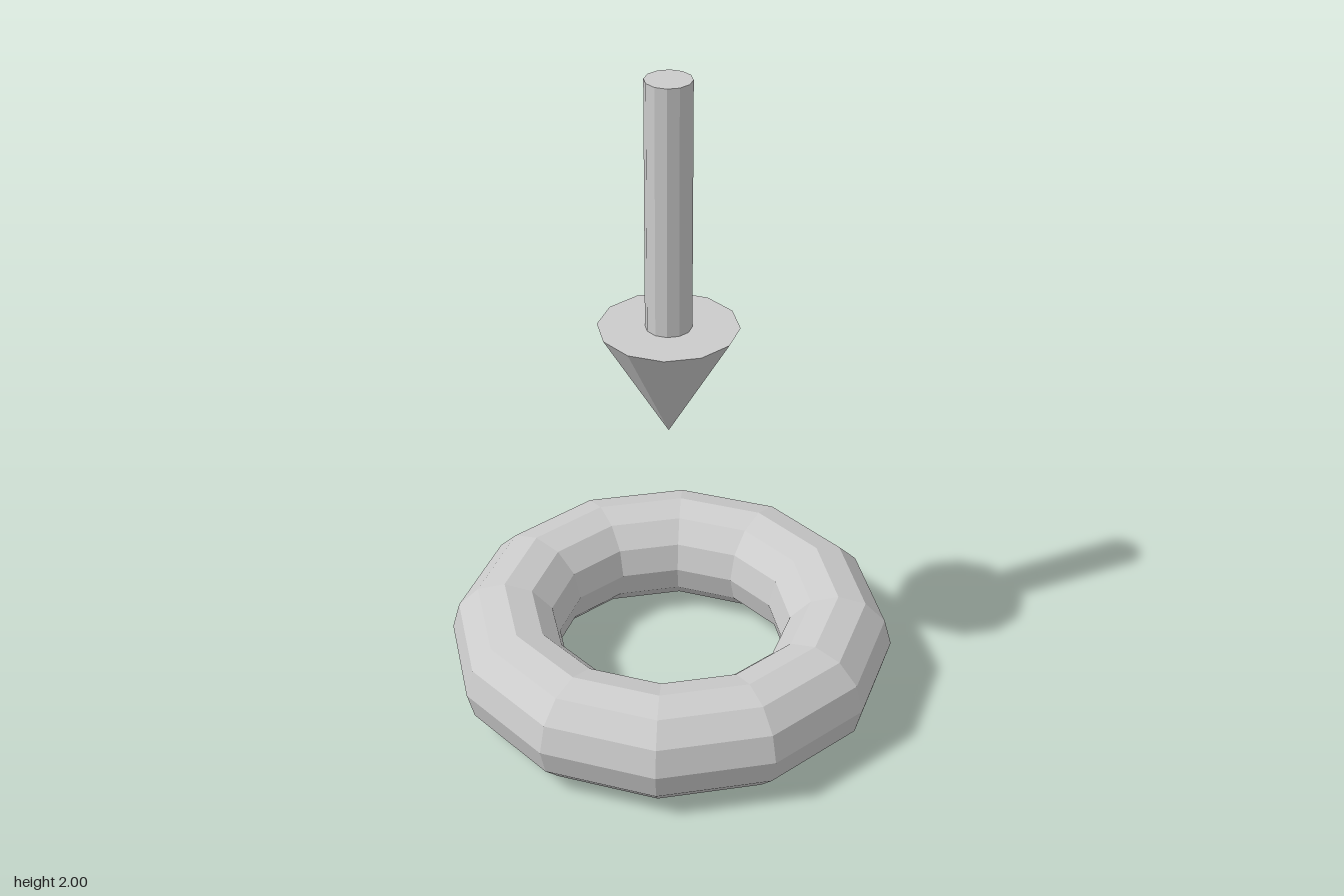
import * as THREE from 'three';

const SIDES = 12;

export function createModel() {
  const model = new THREE.Group();
  const material = new THREE.MeshStandardMaterial({ color: 0xcccccc, flatShading: true });

  const addPart = (name, geometry, parent, y) => {
    const mesh = new THREE.Mesh(geometry, material);
    mesh.name = name;
    mesh.position.y = y;
    parent.add(mesh);
    return mesh;
  };

  // Ring lying flat on the ground
  const tube = 0.166;
  const ringGeometry = new THREE.TorusGeometry(0.508, tube, SIDES, SIDES).rotateX(-Math.PI / 2);
  addPart('ring', ringGeometry, model, tube);

  // Arrow pointing down above the ring's hole
  const arrow = new THREE.Group();
  arrow.name = 'arrow';
  arrow.position.z = 0.011;
  model.add(arrow);

  const tipY = 0.91, baseY = 1.255, topY = 2;
  const headHeight = baseY - tipY;
  const shaftHeight = topY - baseY;
  addPart('arrowHead', new THREE.CylinderGeometry(0.203, 0, headHeight, SIDES), arrow, tipY + headHeight / 2);
  addPart('arrowShaft', new THREE.CylinderGeometry(0.067, 0.067, shaftHeight, SIDES), arrow, baseY + shaftHeight / 2);

  return model;
}
